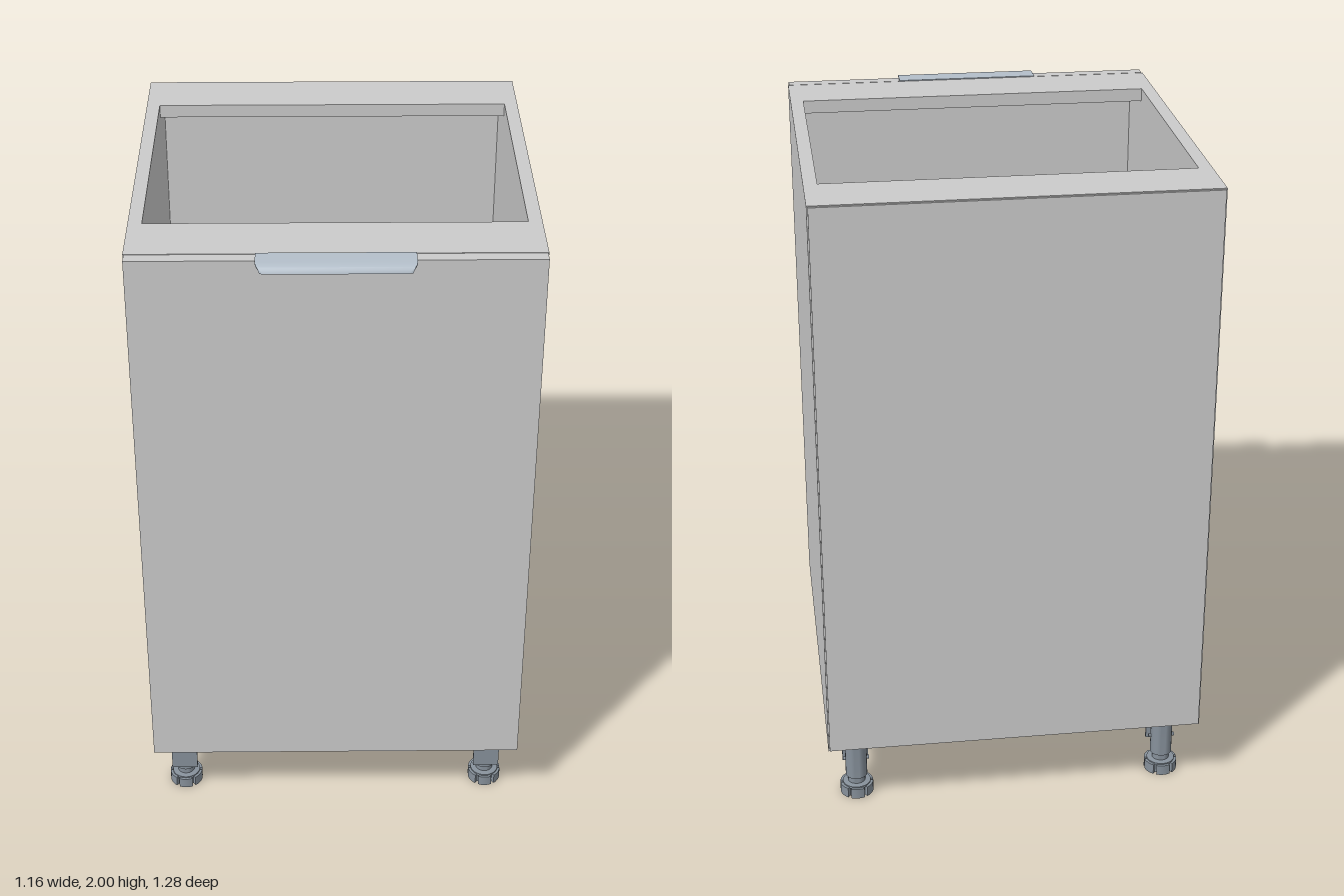
import * as THREE from 'three';
import { toCreasedNormals } from 'three/addons/utils/BufferGeometryUtils.js';

const grey = new THREE.MeshStandardMaterial({ color: 0xcccccc });
const steel = new THREE.MeshStandardMaterial({ color: 0xb4bfca, side: THREE.DoubleSide });
const plastic = new THREE.MeshStandardMaterial({ color: 0x87919b });

function add(parent, name, geometry, material) {
  const mesh = new THREE.Mesh(geometry, material);
  mesh.name = name;
  parent.add(mesh);
  return mesh;
}

// Box given by its minimum and maximum corners
function addBox(parent, name, [x0, y0, z0], [x1, y1, z1], material = grey) {
  const mesh = add(parent, name, new THREE.BoxGeometry(x1 - x0, y1 - y0, z1 - z0), material);
  mesh.position.set((x0 + x1) / 2, (y0 + y1) / 2, (z0 + z1) / 2);
  return mesh;
}

// Lipped edge pull: thin profile swept across x, ends tapering towards the lip
function handleGeometry() {
  const outer = [[0.55, 2], [0.605, 2], [0.618, 1.999], [0.628, 1.996], [0.634, 1.991], [0.638, 1.98]];
  const inner = [[0.634, 1.98], [0.631, 1.989], [0.626, 1.993], [0.617, 1.996], [0.605, 1.997], [0.55, 1.997]];
  const profile = new THREE.Shape([...outer, ...inner].map(p => new THREE.Vector2(...p)));
  const geo = new THREE.ExtrudeGeometry(profile, { depth: 0.44, bevelEnabled: false });
  geo.rotateY(-Math.PI / 2).translate(0.22, 0, 0);
  const pos = geo.attributes.position;
  for (let i = 0; i < pos.count; i++) {
    const t = Math.max(0, (pos.getZ(i) - 0.608) / 0.03);
    const half = 0.22 - 0.025 * (1 - Math.sqrt(Math.max(0, 1 - t * t)));
    pos.setX(i, Math.sign(pos.getX(i)) * half);
  }
  return toCreasedNormals(geo, 0.6);
}

// Round foot with narrow grip notches around the rim
function footGeometry() {
  const shape = new THREE.Shape();
  const notches = 6;
  for (let i = 0; i < notches; i++) {
    const a = (i / notches) * Math.PI * 2;
    for (const [da, r] of [[-0.1, 0.04], [0.1, 0.04], [0.1, 0.052], [0.32, 0.052],
      [0.52, 0.052], [0.73, 0.052], [0.947, 0.052]]) {
      const x = r * Math.cos(a + da), y = r * Math.sin(a + da);
      if (i === 0 && da === -0.1) shape.moveTo(x, y);
      else shape.lineTo(x, y);
    }
  }
  const geo = new THREE.ExtrudeGeometry(shape, { depth: 0.034, bevelEnabled: false });
  return toCreasedNormals(geo.rotateX(-Math.PI / 2), 0.5);
}

function createLeg() {
  const leg = new THREE.Group();
  leg.name = 'leg';
  add(leg, 'foot', footGeometry(), plastic);

  // Stepped adjustable stem
  const profile = [[0, 0.03], [0.044, 0.03], [0.044, 0.038], [0.027, 0.04], [0.027, 0.06], [0.034, 0.062],
    [0.034, 0.178], [0.027, 0.18], [0.027, 0.192], [0.036, 0.192], [0.036, 0.228], [0, 0.228]];
  const stem = new THREE.LatheGeometry(profile.map(p => new THREE.Vector2(...p)), 24);
  add(leg, 'stem', toCreasedNormals(stem, 0.6), plastic);

  // Mounting flange with a ribbed socket below it
  const flange = add(leg, 'flange', new THREE.CylinderGeometry(0.058, 0.058, 0.016, 24), plastic);
  flange.position.y = 0.23;
  for (let i = 0; i < 4; i++) {
    const rib = add(leg, 'socketRib', new THREE.BoxGeometry(0.098, 0.036, 0.012), plastic);
    rib.position.y = 0.208;
    rib.rotation.y = (i * Math.PI) / 4;
  }

  // Plinth clip on the front of the stem
  addBox(leg, 'clipPlate', [-0.041, 0.086, 0.041], [0.041, 0.152, 0.049], plastic);
  for (const y of [0.092, 0.138]) addBox(leg, 'clipArm', [-0.022, y, 0.02], [0.022, y + 0.008, 0.043], plastic);
  for (const s of [-1, 1]) {
    const pin = add(leg, 'stemPin', new THREE.CylinderGeometry(0.006, 0.006, 0.012, 10), plastic);
    pin.rotation.z = Math.PI / 2;
    pin.position.set(s * 0.035, 0.12, 0);
  }
  return leg;
}

export function createModel() {
  const model = new THREE.Group();
  model.name = 'baseCabinet';
  const bottom = 0.238, top = 1.997;

  // Carcass
  const body = new THREE.Group();
  body.name = 'carcass';
  model.add(body);
  addBox(body, 'leftSide', [0.54, bottom, -0.634], [0.58, top, 0.55]);
  addBox(body, 'rightSide', [-0.58, bottom, -0.634], [-0.54, top, 0.55]);
  addBox(body, 'floorPanel', [-0.54, bottom, -0.634], [0.54, bottom + 0.04, 0.55]);
  addBox(body, 'backRail', [-0.54, top - 0.04, -0.634], [0.54, top, -0.45]);
  addBox(body, 'frontRail', [-0.54, top - 0.04, 0.365], [0.54, top, 0.55]);
  addBox(body, 'backPanel', [-0.576, bottom + 0.004, -0.641], [0.576, top - 0.003, -0.634]);

  // Door with edge pull
  addBox(model, 'door', [-0.577, bottom + 0.002, 0.553], [0.577, top, 0.591]);
  add(model, 'handle', handleGeometry(), steel);

  // Four adjustable legs
  for (const x of [-0.49, 0.49]) {
    for (const z of [0.44, -0.508]) {
      const leg = createLeg();
      leg.position.set(x, 0, z);
      model.add(leg);
    }
  }
  return model;
}
